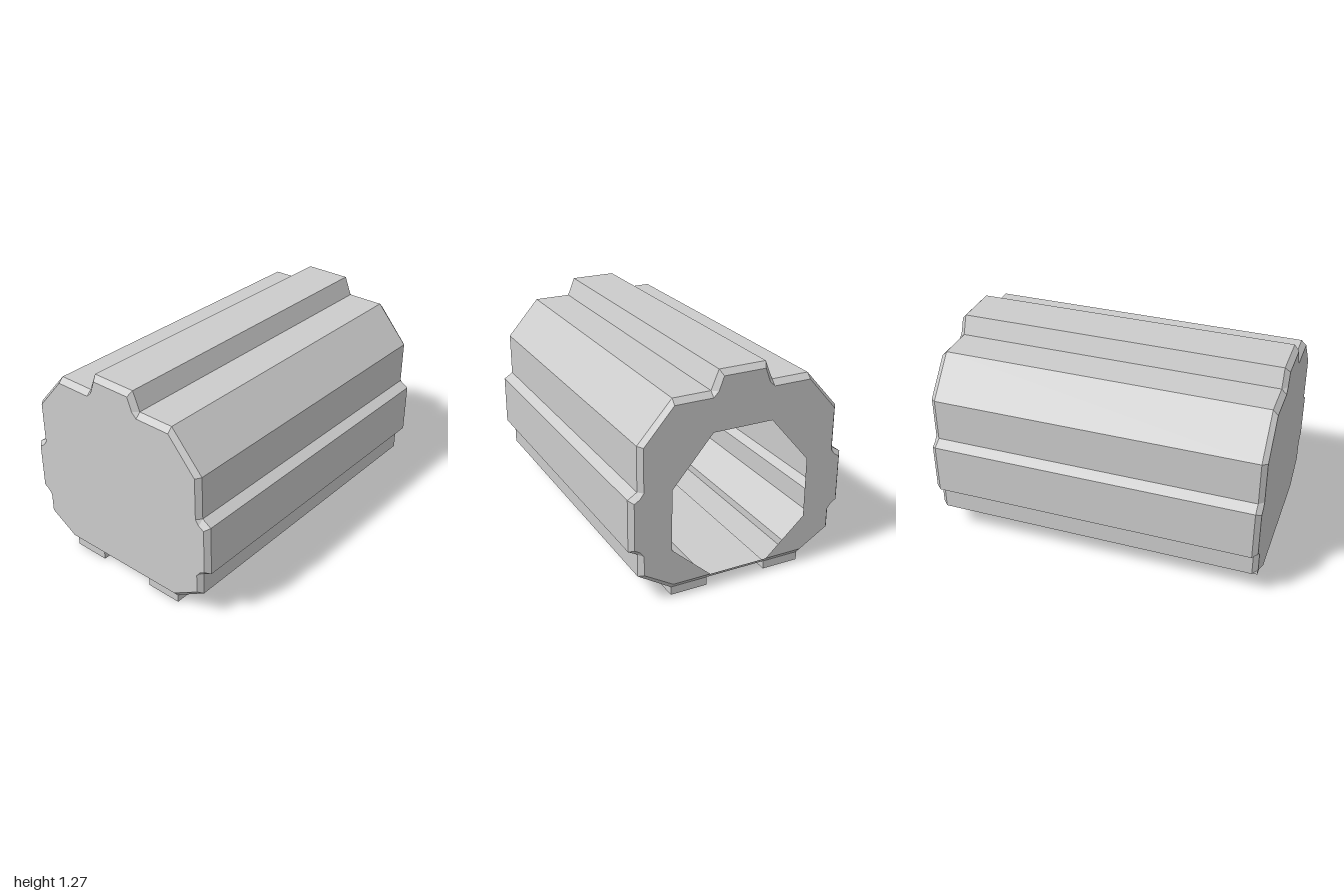
import * as THREE from 'three';

const material = new THREE.MeshStandardMaterial({ color: 0xcccccc, flatShading: true, side: THREE.DoubleSide });

// Right half of the profile, bottom to top: outer x, y, then bevelled end-face x, y.
const half = [
  [0.41, 0.05, 0.41, 0.085],
  [0.61, 0.175, 0.585, 0.19],
  [0.61, 0.31, 0.585, 0.305],
  [0.61, 0.31, 0.607, 0.335],
  [0.665, 0.34, 0.64, 0.355],
  [0.665, 0.645, 0.64, 0.63],
  [0.61, 0.68, 0.607, 0.65],
  [0.61, 0.68, 0.585, 0.68],
  [0.61, 0.94, 0.585, 0.935],
  [0.41, 1.165, 0.41, 1.135],
  [0.185, 1.165, 0.185, 1.135],
  [0.185, 1.165, 0.155, 1.165],
  [0.14, 1.275, 0.125, 1.245],
];
const PAD_IN = 0.185, PAD_OUT = 0.41, PAD_TOP = 0.05;
const Z_SIDE = 0.97, Z_END = 1;

const mirrored = (pts) => [...pts, ...pts.map(([x, y]) => [-x, y]).reverse()];

// Wall of quads between two closed rings, from the rear ring to the front ring.
function wall(ringA, zA, ringB, zB) {
  const pos = [];
  ringA.forEach((a, i) => {
    const j = (i + 1) % ringA.length;
    const a1 = ringA[j], b = ringB[i], b1 = ringB[j];
    pos.push(...a, zA, ...a1, zA, ...b1, zB, ...a, zA, ...b1, zB, ...b, zB);
  });
  const g = new THREE.BufferGeometry();
  g.setAttribute('position', new THREE.Float32BufferAttribute(pos, 3));
  g.computeVertexNormals();
  return g;
}

const face = (pts) => new THREE.ShapeGeometry(new THREE.Shape(pts.map(([x, y]) => new THREE.Vector2(x, y))));

export function createModel() {
  const group = new THREE.Group();
  const add = (name, geometry) => {
    const mesh = new THREE.Mesh(geometry, material);
    mesh.name = name;
    group.add(mesh);
    return mesh;
  };

  const outer = mirrored(half.map(([x, y]) => [x, y]));
  const inner = mirrored(half.map(([, , x, y]) => [x, y]));

  // Hollow ribbed shell, with the two runners folded into its underside
  const unique = outer.filter((p, i) => i === 0 || p[0] !== outer[i - 1][0] || p[1] !== outer[i - 1][1]);
  const shell = [
    ...unique,
    [-PAD_OUT, 0], [-PAD_IN, 0], [-PAD_IN, PAD_TOP],
    [PAD_IN, PAD_TOP], [PAD_IN, 0], [PAD_OUT, 0],
  ];
  add('ribbedShell', wall(shell, -Z_SIDE, shell, Z_SIDE));

  // Bevelled rims at both ends
  add('frontBevel', wall(outer, Z_SIDE, inner, Z_END));
  add('backBevel', wall(inner, -Z_END, outer, -Z_SIDE));

  // Closed front panel
  add('frontPanel', face(inner)).position.z = Z_END;

  // Rear panel with an eight-sided opening that reaches its lower edge
  const opening = mirrored([[0.18, 0.085], [0.42, 0.3], [0.42, 0.66], [0.18, 0.94]]).reverse();
  const back = add('backPanel', face([...inner, ...opening]));
  back.rotation.y = Math.PI;
  back.position.z = -Z_END;

  // End plates of the runners
  for (const side of [-1, 1]) {
    for (const end of [-1, 1]) {
      const plate = add('runnerEnd', new THREE.PlaneGeometry(PAD_OUT - PAD_IN, PAD_TOP));
      plate.position.set(side * (PAD_OUT + PAD_IN) / 2, PAD_TOP / 2, end * Z_SIDE);
      if (end < 0) plate.rotation.y = Math.PI;
    }
  }
  return group;
}
